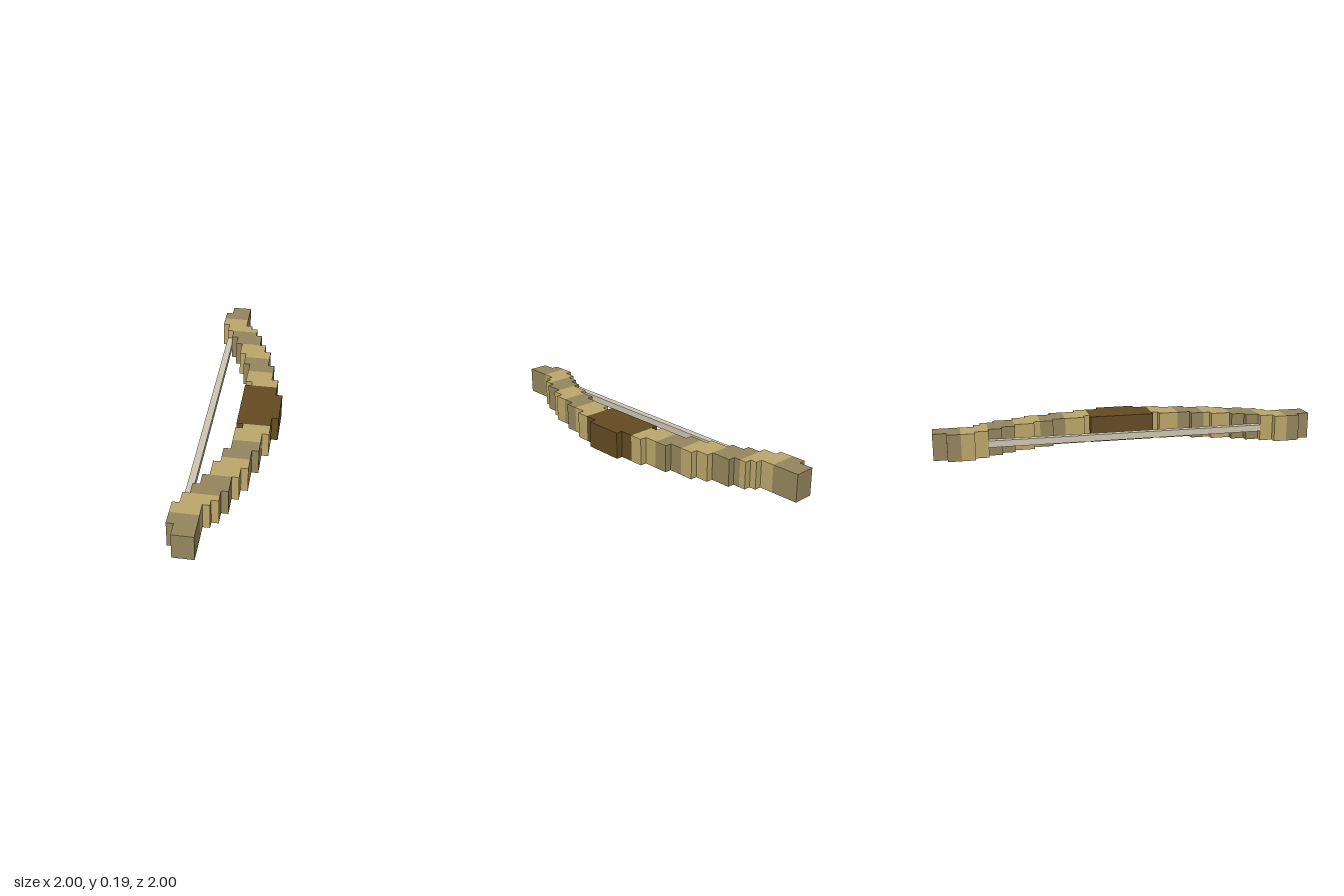
import * as THREE from 'three';

const S = Math.SQRT2 / 30.5; // size of one block step
const THICK = 4;

const mat = (name, color) => {
  const m = new THREE.MeshStandardMaterial({ color });
  m.name = name;
  return m;
};

// Stepped outline: inner and outer are lists of [end along bow, offset across bow]
function sectionGeometry(start, inner, outer, side) {
  const edge = (steps) => {
    const pts = [];
    let u = start;
    for (const [end, v] of steps) {
      pts.push([u, v], [end, v]);
      u = end;
    }
    return pts;
  };
  const pts = [...edge(outer), ...edge(inner).reverse()];
  const shape = new THREE.Shape(pts.map(([u, v]) => new THREE.Vector2(u * S * side, v * S)));
  const geo = new THREE.ExtrudeGeometry(shape, { depth: THICK * S, bevelEnabled: false });
  geo.rotateX(Math.PI / 2);
  geo.translate(0, THICK * S, 0);
  return geo;
}

export function createModel() {
  const model = new THREE.Group();
  model.name = 'bow';
  const lightWood = mat('light wood', 0xbca76b);
  const darkWood = mat('dark wood', 0x95865d);
  const gripBrown = mat('grip brown', 0x644a22);
  const cord = mat('cord', 0xcfc6b3);

  const add = (name, geo, material) => {
    const mesh = new THREE.Mesh(geo, material);
    mesh.name = name;
    model.add(mesh);
  };

  // Central grip
  add('grip', sectionGeometry(-5, [[5, 3.5]], [[-3, 8.5], [3, 9.5], [5, 8.5]], 1), gripBrown);

  // Limb sections from grip to tip: start, inner steps, outer steps
  const sections = [
    [5, [[6, 4.5], [9, 3.5]], [[7, 8.5], [9, 7.5]]],
    [9, [[11, 3.5], [13, 2.5]], [[11, 7.5], [13, 6.5]]],
    [13, [[14, 2.5], [17, 1.5]], [[15, 6.5], [17, 5.5]]],
    [17, [[19, 0.5], [21, -0.5]], [[20, 4.5], [21, 3.5]]],
    [21, [[23, -1.5], [25, -2.5]], [[22, 3.5], [23, 2.5], [25, 1.5]]],
    [25, [[27, -2.5], [29, -1.5]], [[29, 1.5]]],
  ];
  for (const side of [1, -1]) {
    sections.forEach(([start, inner, outer], i) => {
      const name = (side > 0 ? 'leftLimb' : 'rightLimb') + (i + 1);
      add(name, sectionGeometry(start, inner, outer, side), i % 2 ? darkWood : lightWood);
    });
  }

  // Bowstring at mid thickness
  const string = new THREE.BoxGeometry(42 * S, S, S);
  string.translate(0, (THICK / 2) * S, -S);
  add('bowstring', string, cord);

  // The bow lies diagonally
  model.rotation.y = Math.PI / 4;
  return model;
}
